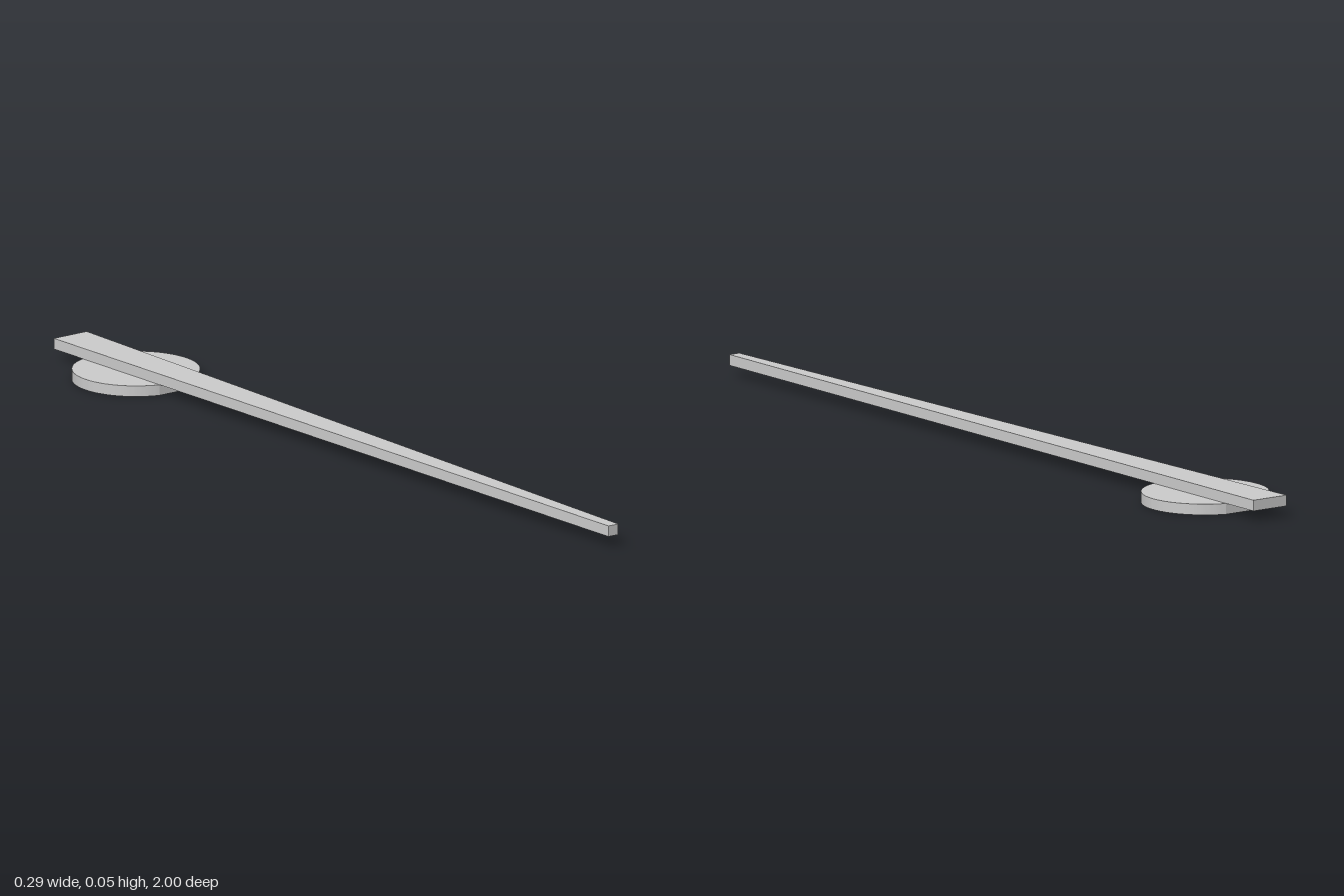
import * as THREE from 'three';
import { toCreasedNormals } from 'three/addons/utils/BufferGeometryUtils.js';

const material = new THREE.MeshStandardMaterial({ color: 0xcccccc, side: THREE.DoubleSide });
const HEIGHT = 0.025;      // thickness of each layer
const RADIUS = 0.145;
const HUB_Z = -0.758;

function addMesh(parent, name, geometry) {
  const mesh = new THREE.Mesh(geometry, material);
  mesh.name = name;
  parent.add(mesh);
}

// Half width of the tapering pointer at a given z
const halfWidth = (z) => THREE.MathUtils.mapLinear(z, -1, 1, 0.047, 0.014);

export function createModel() {
  const model = new THREE.Group();
  model.name = 'pointerHand';

  // Long tapering pointer
  const bar = new THREE.BoxGeometry(2, HEIGHT, 2).translate(0, HEIGHT * 1.5, 0);
  const p = bar.attributes.position;
  for (let i = 0; i < p.count; i++) p.setX(i, Math.sign(p.getX(i)) * halfWidth(p.getZ(i)));
  addMesh(model, 'pointer', toCreasedNormals(bar, 0.3));

  // Hub outline: two arcs joined by flats where the pointer crosses
  const front = Math.acos(halfWidth(HUB_Z + RADIUS) / RADIUS);
  const back = Math.acos(halfWidth(HUB_Z - RADIUS) / RADIUS);
  const outline = new THREE.Shape();
  outline.absarc(0, 0, RADIUS, -front, back, false);
  outline.absarc(0, 0, RADIUS, Math.PI - back, Math.PI + front, false);
  outline.closePath();

  const hub = new THREE.Group();
  hub.name = 'hub';
  hub.position.z = HUB_Z;
  model.add(hub);

  // Hub top plate
  const plate = new THREE.ShapeGeometry(outline, 32);
  addMesh(hub, 'hubPlate', plate.rotateX(-Math.PI / 2).translate(0, HEIGHT, 0));

  // Hub rim, open underneath
  const points = outline.getPoints(32);
  const vertices = [];
  for (let i = 0; i < points.length - 1; i++) {
    const a = points[i], b = points[i + 1];
    if (a.distanceTo(b) < 1e-6) continue;
    vertices.push(
      a.x, 0, -a.y, b.x, 0, -b.y, b.x, HEIGHT, -b.y,
      a.x, 0, -a.y, b.x, HEIGHT, -b.y, a.x, HEIGHT, -a.y
    );
  }
  const rim = new THREE.BufferGeometry();
  rim.setAttribute('position', new THREE.Float32BufferAttribute(vertices, 3));
  addMesh(hub, 'hubRim', toCreasedNormals(rim, 0.2));

  return model;
}
